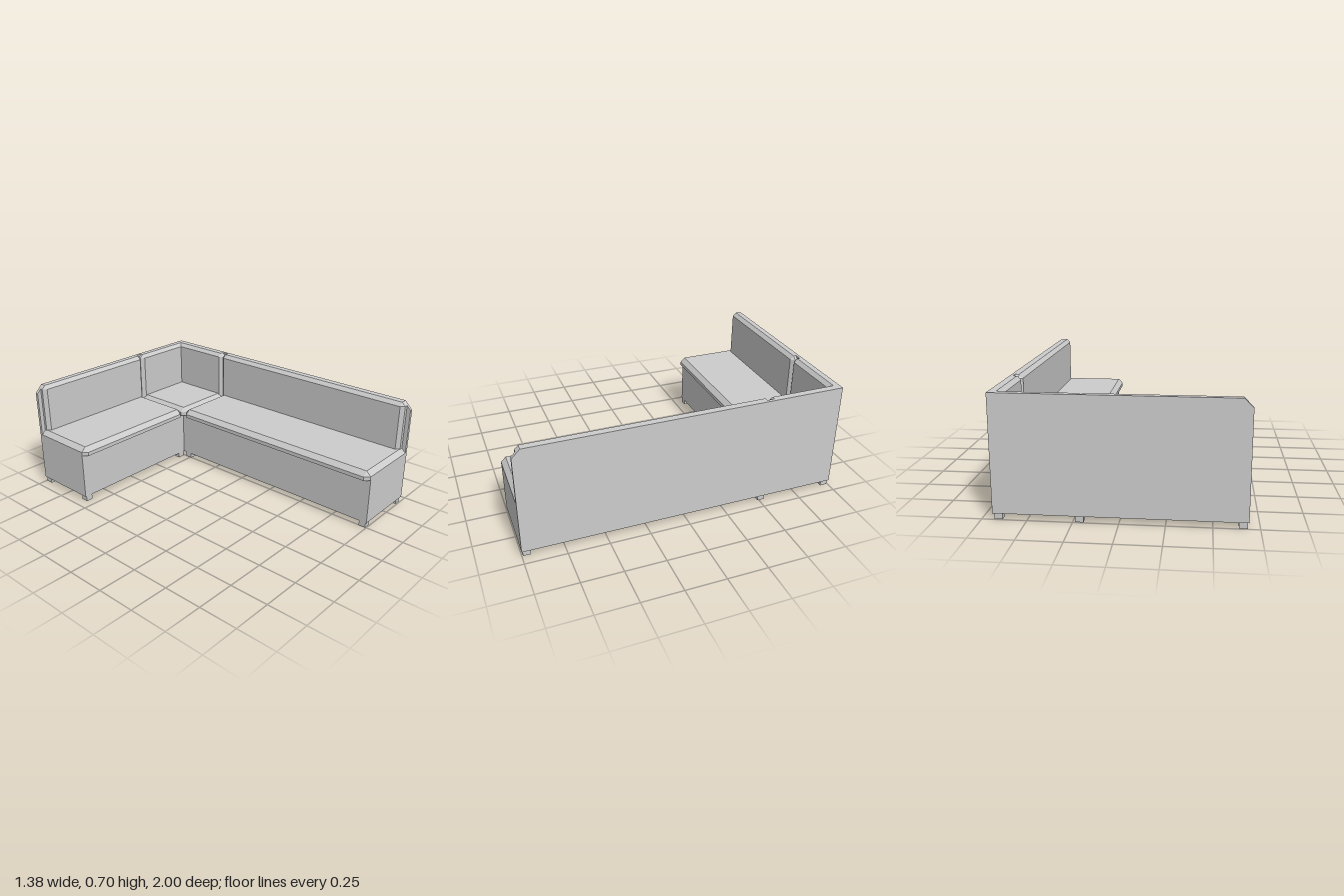
import * as THREE from 'three';
import { ConvexGeometry } from 'three/addons/geometries/ConvexGeometry.js';

const material = new THREE.MeshStandardMaterial({ color: 0xcccccc, flatShading: true });

// Upholstered slab: runs s0..s1, grows from w0 (hidden edge) to w1, and from h0 to the padded face h1.
// The outer corners are cut and the padded face is chamfered; e0, e1 switch the chamfer at each end.
function padGeometry({ s: [s0, s1], w: [w0, w1], h: [h0, h1], bevel, e0 = 1, e1 = 1, map }) {
  const a = s0 + bevel * e0;
  const b = s1 - bevel * e1;
  const w = w1 - bevel * Math.sign(w1 - w0);
  const h = h1 - bevel * Math.sign(h1 - h0);
  const outline = [[s0, w0], [s0, w], [s1, w], [s1, w0], [a, w1], [b, w1]];
  const face = [[a, w0], [a, w], [b, w], [b, w0]];
  const points = [];
  for (const [u, v] of outline) points.push(map(u, v, h0), map(u, v, h));
  for (const [u, v] of face) points.push(map(u, v, h1));
  return new ConvexGeometry(points);
}

// Upright board with its outer top corner cut off; it starts at 0 and runs along +x
function boardGeometry(length, thickness) {
  const shape = new THREE.Shape([
    [0, 0.035], [length, 0.035], [length, 0.655], [length - 0.05, 0.705], [0, 0.705],
  ].map(([x, y]) => new THREE.Vector2(x, y)));
  return new THREE.ExtrudeGeometry(shape, { depth: thickness, bevelEnabled: false });
}

function boxGeometry([x0, x1], [y0, y1], [z0, z1]) {
  return new THREE.BoxGeometry(x1 - x0, y1 - y0, z1 - z0)
    .translate((x0 + x1) / 2, (y0 + y1) / 2, (z0 + z1) / 2);
}

export function createModel() {
  const group = new THREE.Group();
  const add = (name, geometry) => {
    const mesh = new THREE.Mesh(geometry, material);
    mesh.name = name;
    group.add(mesh);
    return mesh;
  };

  // Plinths of the two wings
  add('rearBase', boxGeometry([-0.69, 0.67], [0.035, 0.335], [-0.98, -0.56]));
  add('sideBase', boxGeometry([0.245, 0.67], [0.035, 0.335], [-0.56, 1]));

  // Outer boards behind the backrests
  const rearBoard = add('rearBoard', boardGeometry(1.38, 0.02));
  rearBoard.rotation.y = Math.PI;
  rearBoard.position.set(0.69, 0, -0.98);
  const sideBoard = add('sideBoard', boardGeometry(2, 0.02));
  sideBoard.rotation.y = -Math.PI / 2;
  sideBoard.position.set(0.69, 0, -1);

  // Seat cushions, overhanging the plinths
  const alongX = (s, w, h) => new THREE.Vector3(s, h, w);
  const alongZ = (s, w, h) => new THREE.Vector3(w, h, s);
  const seatHeight = { h: [0.335, 0.39], bevel: 0.03 };
  add('rearSeat', padGeometry({ s: [-0.69, 0.213], w: [-0.98, -0.53], ...seatHeight, map: alongX }));
  add('cornerSeat', padGeometry({ s: [0.213, 0.67], w: [-0.98, -0.523], ...seatHeight, e1: 0, map: alongX }));
  add('sideSeat', padGeometry({ s: [-0.523, 1], w: [0.67, 0.21], ...seatHeight, map: alongZ }));

  // Backrest pads, meeting in a mitred inner corner
  const rearFace = (s, w, h) => new THREE.Vector3(s, w, h);
  const sideFace = (s, w, h) => new THREE.Vector3(h, w, s);
  const rearPad = { w: [0.335, 0.705], h: [-0.98, -0.94], bevel: 0.023, map: rearFace };
  const sidePad = { w: [0.335, 0.705], h: [0.67, 0.623], bevel: 0.023, map: sideFace };
  add('rearBackrest', padGeometry({ s: [-0.663, 0.213], ...rearPad }));
  add('cornerRearBackrest', padGeometry({ s: [0.213, 0.67], e1: 0, ...rearPad }));
  add('cornerSideBackrest', padGeometry({ s: [-0.98, -0.523], e0: 0, ...sidePad }));
  add('sideBackrest', padGeometry({ s: [-0.523, 0.973], ...sidePad }));

  // Short square feet
  const feet = [
    [-0.66, -0.97], [-0.66, -0.583], [0.214, -0.97], [0.214, -0.583], [0.658, -0.97],
    [0.27, -0.513], [0.658, -0.513], [0.27, 0.97], [0.658, 0.97],
  ];
  for (const [x, z] of feet) {
    add('foot', boxGeometry([x - 0.023, x + 0.023], [0, 0.037], [z - 0.023, z + 0.023]));
  }
  return group;
}
